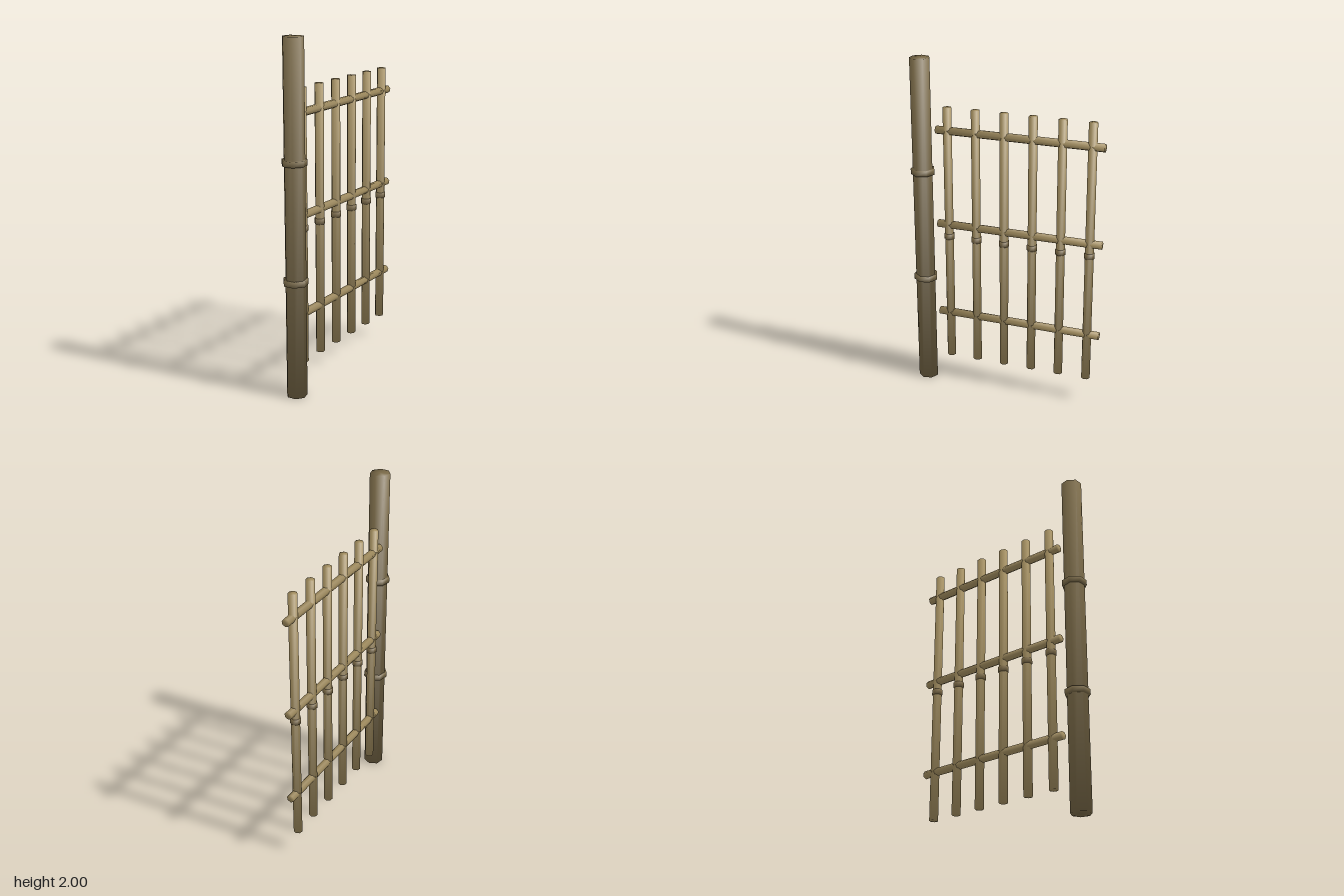
import * as THREE from 'three';

const SIDES = 7;

const postCane = new THREE.MeshStandardMaterial({ color: 0x7a6a48 });
postCane.name = 'dark cane';
const paleCane = new THREE.MeshStandardMaterial({ color: 0xa48f60 });
paleCane.name = 'pale cane';
const bindingCane = new THREE.MeshStandardMaterial({ color: 0x7e6c48 });
bindingCane.name = 'binding';

// Seven-sided upright cane whose normals run smoothly from the sides into both ends
function caneGeometry(radius, length) {
  const geometry = new THREE.CylinderGeometry(radius, radius, length, SIDES);
  const position = geometry.attributes.position;
  const normal = geometry.attributes.normal;
  const n = new THREE.Vector3();
  for (let i = 0; i < position.count; i++) {
    n.set(position.getX(i) / radius, Math.sign(position.getY(i)) * 0.8, position.getZ(i) / radius);
    n.normalize();
    normal.setXYZ(i, n.x, n.y, n.z);
  }
  return geometry.rotateY(Math.PI);
}

function addCane(parent, name, material, radius, length, x, y, z) {
  const mesh = new THREE.Mesh(caneGeometry(radius, length), material);
  mesh.name = name;
  mesh.position.set(x, y, z);
  parent.add(mesh);
  return mesh;
}

export function createModel() {
  const group = new THREE.Group();
  group.name = 'caneFence';

  // Tall end post with two joint rings
  const post = new THREE.Group();
  post.name = 'endPost';
  group.add(post);
  addCane(post, 'post', postCane, 0.059, 2, 0, 1, 0.5);
  for (const y of [0.67, 1.335]) addCane(post, 'postRing', postCane, 0.071, 0.032, 0, y, 0.5);

  // Lattice panel behind the post, slightly to one side
  const panel = new THREE.Group();
  panel.name = 'latticePanel';
  panel.position.x = -0.043;
  group.add(panel);

  // Upright pickets, each with one joint ring
  for (let i = 0; i < 6; i++) {
    const z = 0.36 - i * 0.1715;
    addCane(panel, 'picket', paleCane, 0.026, 1.57, 0, 0.93, z);
    addCane(panel, 'picketRing', bindingCane, 0.031, 0.032, 0, 0.933, z);
  }

  // Horizontal rails
  for (const y of [0.432, 1.003, 1.577]) {
    const rail = addCane(panel, 'rail', paleCane, 0.024, 1, 0, y, -0.07);
    rail.rotation.x = -Math.PI / 2;
  }
  return group;
}
